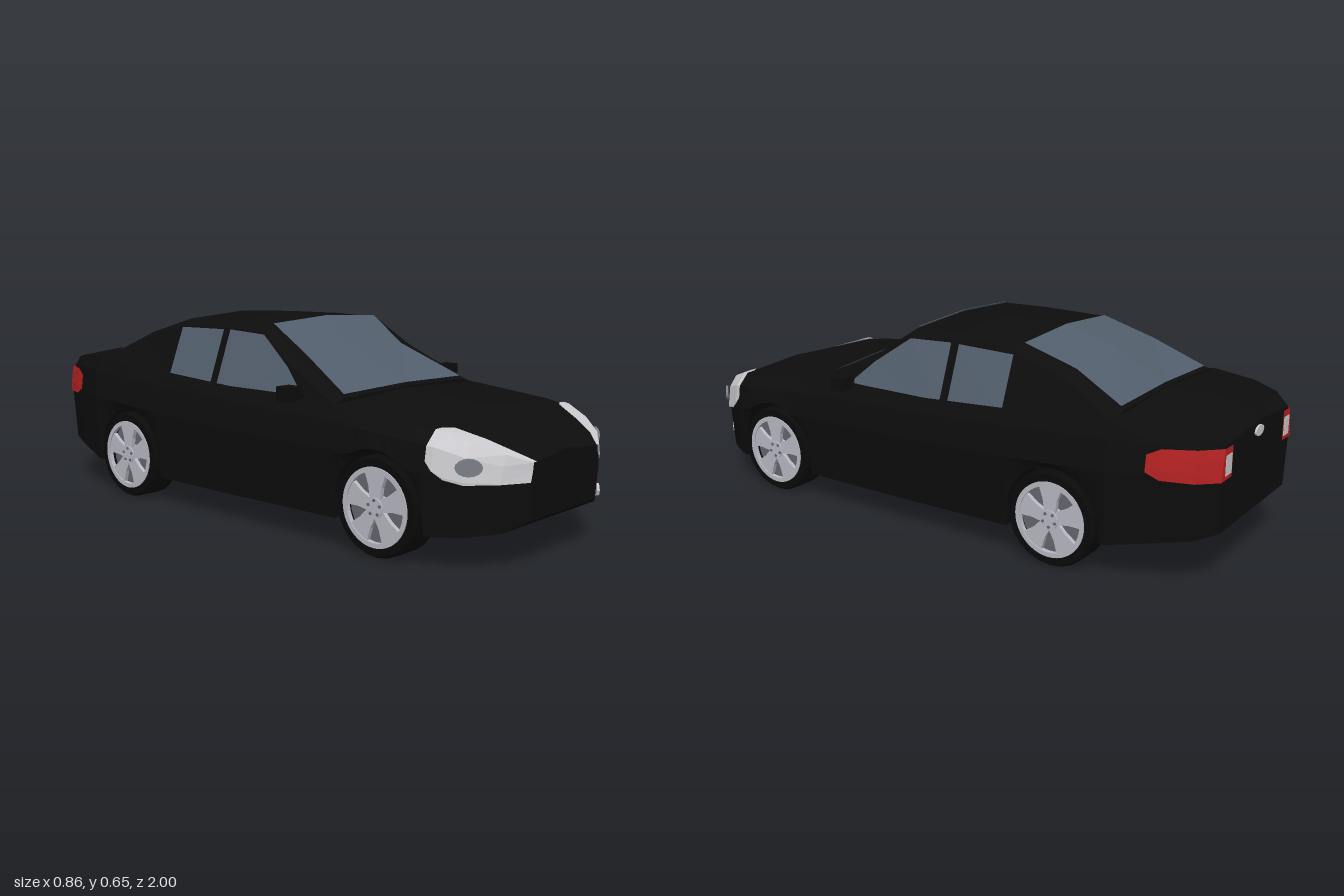
import * as THREE from 'three';

const mat = (name, color, side = THREE.FrontSide) => {
  const m = new THREE.MeshStandardMaterial({ color, flatShading: true, side });
  m.name = name;
  return m;
};

const WHEEL_Z = [0.61, -0.52], WHEEL_R = 0.15, ARCH_R = 0.16;

// Body stations: z, half width, bottom y, shoulder y, shoulder x / half width, crown y
const BODY = [
  [-0.995, 0.26, 0.17, 0.43, 0.92, 0.445],
  [-0.94, 0.32, 0.155, 0.46, 0.88, 0.485],
  [-0.85, 0.355, 0.14, 0.475, 0.9, 0.5],
  [-0.7, 0.395, 0.11, 0.48, 0.92, 0.502],
  [-0.35, 0.395, 0.09, 0.455, 0.92, 0.48],
  [0, 0.395, 0.088, 0.435, 0.92, 0.46],
  [0.4, 0.398, 0.09, 0.425, 0.91, 0.44],
  [0.72, 0.403, 0.09, 0.395, 0.87, 0.412],
  [0.8, 0.385, 0.095, 0.385, 0.86, 0.398],
  [0.88, 0.345, 0.1, 0.355, 0.87, 0.375],
  [0.95, 0.27, 0.11, 0.325, 0.9, 0.345],
  [0.995, 0.19, 0.14, 0.3, 0.92, 0.32],
];

// Cabin stations: z, base x y, window top x y, roof edge x y, crown y
const CABIN = [
  [-0.7, 0.355, 0.47, 0.33, 0.48, 0.29, 0.495, 0.503],
  [-0.52, 0.355, 0.45, 0.3, 0.555, 0.26, 0.577, 0.592],
  [-0.33, 0.355, 0.44, 0.287, 0.612, 0.25, 0.633, 0.648],
  [-0.1, 0.355, 0.43, 0.285, 0.617, 0.25, 0.637, 0.655],
  [0.07, 0.352, 0.43, 0.288, 0.61, 0.255, 0.632, 0.645],
  [0.2, 0.352, 0.43, 0.315, 0.52, 0.285, 0.542, 0.555],
  [0.42, 0.35, 0.42, 0.33, 0.43, 0.31, 0.438, 0.445],
];

// Linear interpolation of a station table
function at(table, z) {
  let i = 0;
  while (i < table.length - 2 && z > table[i + 1][0]) i++;
  const a = table[i], b = table[i + 1];
  const t = THREE.MathUtils.clamp((z - a[0]) / (b[0] - a[0]), 0, 1);
  return a.map((v, k) => v + (b[k] - v) * t);
}

// Half section of the body, from bottom centre round to top centre
function bodySection(z) {
  const [, w, b, ys, f, yc] = at(BODY, z);
  let h = b;
  for (const c of WHEEL_Z) {
    const d = Math.abs(z - c);
    if (d <= ARCH_R + 1e-6) h = WHEEL_R + Math.sqrt(Math.max(0, ARCH_R ** 2 - d * d));
  }
  const y1 = Math.max(b + (ys - b) * 0.62, h + 0.012), y2 = Math.max(b + (ys - b) * 0.88, y1 + 0.01);
  const well = Math.min(0.27, w * 0.7);
  return [[0, b], [well, b], [well, h], [w - 0.015, h], [w, y1], [w - 0.012, y2], [w * f, ys], [0, yc]];
}

function cabinSection(z) {
  const [, xb, yb, xm, ym, xt, yt, yc] = at(CABIN, z);
  return [[0, yb - 0.03], [xb, yb], [xm, ym], [xt, yt], [0, yc]];
}

// Side x of a half section at height y (points between first and last)
function sideX(points, y) {
  for (let i = 0; i < points.length - 1; i++) {
    const [xa, ya] = points[i], [xb, yb] = points[i + 1];
    if (y <= yb || i === points.length - 2) return xa + (xb - xa) * THREE.MathUtils.clamp((y - ya) / (yb - ya), 0, 1);
  }
}
const bodyX = (z, y) => sideX(bodySection(z).slice(3, 7), y);
const cabinX = (z, y) => sideX(cabinSection(z).slice(1, 3), y);

// Skin over rows of points; closed rows make a capped solid
function skin(rows, closed) {
  const pos = [], n = rows[0].length;
  const tri = (...p) => p.forEach((v) => pos.push(...v));
  for (let i = 0; i < rows.length - 1; i++) {
    for (let j = 0; j < (closed ? n : n - 1); j++) {
      const k = (j + 1) % n, a = rows[i][j], b = rows[i][k], c = rows[i + 1][j], d = rows[i + 1][k];
      tri(a, b, d);
      tri(a, d, c);
    }
  }
  if (closed) {
    const back = rows[0], front = rows[rows.length - 1];
    for (let j = 1; j < n - 1; j++) {
      tri(back[0], back[j + 1], back[j]);
      tri(front[0], front[j], front[j + 1]);
    }
  }
  const g = new THREE.BufferGeometry();
  g.setAttribute('position', new THREE.Float32BufferAttribute(pos, 3));
  g.computeVertexNormals();
  return g;
}

const ring = (half, z) => [
  ...half.map(([x, y]) => [x, y, z]),
  ...half.slice(1, -1).reverse().map(([x, y]) => [-x, y, z]),
];

export function createModel() {
  const car = new THREE.Group();
  car.name = 'car';
  const paint = mat('black paint', 0x0d0d0d);
  const rubber = mat('tyre rubber', 0x0a0a0a, THREE.DoubleSide);
  const glass = mat('window glass', 0x525e6c, THREE.DoubleSide);
  const clear = mat('clear lamp', 0xcacace, THREE.DoubleSide);
  const lens = mat('lamp lens', 0x7c7e86, THREE.DoubleSide);
  const red = mat('red lamp', 0xb42222, THREE.DoubleSide);
  const alloy = mat('alloy', 0xb9bac4);
  const shade = mat('dark alloy', 0x66676f);
  const add = (name, geo, m, parent = car) => {
    const mesh = new THREE.Mesh(geo, m);
    mesh.name = name;
    parent.add(mesh);
    return mesh;
  };

  // Lower body with open wheel arches
  const zs = BODY.map((s) => s[0]);
  for (const c of WHEEL_Z) {
    for (let k = 0; k <= 12; k++) zs.push(c + ARCH_R * Math.cos((k * Math.PI) / 12));
    zs.push(c + ARCH_R + 0.002, c - ARCH_R - 0.002);
  }
  zs.sort((a, b) => a - b);
  add('body', skin(zs.map((z) => ring(bodySection(z), z)), true), paint);

  // Cabin and roof
  add('cabin', skin(CABIN.map(([z]) => ring(cabinSection(z), z)), true), paint);

  // Windscreen and rear window, following the crown of the cabin
  const screen = (rows) => skin(rows.map(([z, w]) => {
    const [, , , , , xt, yt, yc] = at(CABIN, z);
    return [w, 0, -w].map((x) => [x, yc + (yt - yc) * Math.abs(x) / xt + 0.005, z]);
  }));
  add('windscreen', screen([[0.065, 0.25], [0.07, 0.25], [0.2, 0.24], [0.41, 0.297]]), glass);
  add('rearWindow', screen([[-0.69, 0.284], [-0.52, 0.25], [-0.335, 0.248]]), glass);

  for (const s of [1, -1]) {
    const side = s > 0 ? 'left' : 'right';

    // Side windows: z, bottom y, top y
    const pane = (cols) => skin(cols.map(([z, lo, hi]) =>
      [lo, hi].map((y) => [s * (cabinX(z, y) + 0.005), y, z])));
    add(side + 'FrontWindow', pane([[-0.09, 0.437, 0.612], [0.07, 0.437, 0.605], [0.2, 0.437, 0.515], [0.27, 0.437, 0.452]]), glass);
    add(side + 'RearWindow', pane([[-0.325, 0.444, 0.607], [-0.12, 0.437, 0.611]]), glass);

    // Headlamp wrapping over the wing: z, bottom y, inner x on the bonnet
    const lampRows = [[0.78, 0.31, 0.31], [0.8, 0.285, 0.28], [0.83, 0.262, 0.265], [0.88, 0.25, 0.24], [0.95, 0.25, 0.205], [0.995, 0.25, 0.165]];
    const headlamp = lampRows.map(([z, lo, xin]) => {
      const p = bodySection(z), [xs, ys] = p[6], yc = p[7][1];
      const inner = Math.min(xin, xs);
      const pts = [lo, Math.max(lo + 0.002, p[4][1]), p[5][1], ys].map((y) => [bodyX(z, y), y]);
      pts.push([inner, yc + (ys - yc) * inner / xs]);
      return pts.map(([x, y], i) => [s * (x + (i < 4 ? 0.005 : 0)), y + (i > 2 ? 0.005 : 0), z + 0.004]);
    });
    add(side + 'Headlamp', skin(headlamp), clear);

    // Round lens inside the headlamp
    const eye = add(side + 'HeadlampLens', new THREE.CylinderGeometry(0.038, 0.038, 0.008, 16).rotateX(Math.PI / 2), lens);
    eye.scale.y = 0.66;
    eye.rotation.y = s * 0.8;
    eye.position.set(s * 0.342, 0.3, 0.897);

    // Tail lamp round the rear corner, with reversing lamp
    const tail = [[-0.995, 0.33, 0.425], [-0.94, 0.332, 0.427], [-0.85, 0.335, 0.425], [-0.81, 0.355, 0.405]].map(([z, lo, hi]) =>
      [0, 0.33, 0.66, 1].map((t) => {
        const y = lo + (hi - lo) * t;
        return [s * (bodyX(z, y) + 0.006), y, z - 0.004];
      }));
    tail.unshift(tail[0].map(([, y]) => [s * 0.195, y, -0.999]));
    add(side + 'TailLamp', skin(tail), red);
    add(side + 'ReversingLamp', new THREE.BoxGeometry(0.04, 0.06, 0.004), clear).position.set(s * 0.222, 0.373, -0.999);

    // Door mirror on a short stalk
    const mirror = new THREE.Group();
    mirror.name = side + 'Mirror';
    car.add(mirror);
    add('mirrorHousing', new THREE.BoxGeometry(0.055, 0.044, 0.05), paint, mirror).position.set(s * 0.402, 0.448, 0.28);
    add('mirrorStalk', new THREE.BoxGeometry(0.05, 0.012, 0.025), paint, mirror).position.set(s * 0.362, 0.434, 0.28);
  }

  // Fog lamp on one side and small plate on the boot
  const fog = add('fogLamp', new THREE.CylinderGeometry(0.02, 0.02, 0.008, 8).rotateX(Math.PI / 2), clear);
  fog.rotation.y = 0.75;
  fog.position.set(0.27, 0.145, 0.95);
  const plate = add('bootPlate', new THREE.CylinderGeometry(0.03, 0.03, 0.008, 14).rotateX(Math.PI / 2), clear);
  plate.scale.y = 0.55;
  plate.position.set(0, 0.415, -0.997);

  // Wheels: axle along y with the outer face up, then turned outward
  const tyre = new THREE.LatheGeometry([[0.112, -0.055], [0.143, -0.055], [0.15, -0.045], [0.15, 0.045], [0.143, 0.055], [0.119, 0.055], [0.116, 0.02]]
    .map(([r, y]) => new THREE.Vector2(r, y)), 24);
  const extrude = (shape, depth) => new THREE.ExtrudeGeometry(shape, { depth, bevelEnabled: false, curveSegments: 24 }).rotateX(-Math.PI / 2);
  const rimShape = new THREE.Shape().absarc(0, 0, 0.119, 0, Math.PI * 2);
  rimShape.holes.push(new THREE.Path().absarc(0, 0, 0.104, 0, Math.PI * 2, true));
  const rim = extrude(rimShape, 0.015);
  const spoke = extrude(new THREE.Shape([[-0.018, 0.015], [0.018, 0.015], [0.024, 0.06], [0.04, 0.105], [-0.04, 0.105], [-0.024, 0.06]]
    .map(([x, y]) => new THREE.Vector2(x, y))), 0.014);
  for (const z of WHEEL_Z) {
    for (const s of [1, -1]) {
      const wheel = new THREE.Group();
      wheel.name = (z > 0 ? 'front' : 'rear') + (s > 0 ? 'Left' : 'Right') + 'Wheel';
      wheel.position.set(s * 0.335, WHEEL_R, z);
      wheel.rotation.z = -s * Math.PI / 2;
      car.add(wheel);
      add('tyre', tyre, rubber, wheel);
      add('innerCover', new THREE.CylinderGeometry(0.114, 0.114, 0.01, 24), rubber, wheel).position.y = -0.048;
      add('rimBack', new THREE.CylinderGeometry(0.117, 0.117, 0.01, 24), shade, wheel).position.y = 0.02;
      add('rim', rim, alloy, wheel).position.y = 0.043;
      add('hub', new THREE.CylinderGeometry(0.03, 0.034, 0.03, 15), alloy, wheel).position.y = 0.043;
      for (let k = 0; k < 5; k++) {
        const a = (k * Math.PI * 2) / 5;
        const arm = add('spoke', spoke, alloy, wheel);
        arm.position.y = 0.041;
        arm.rotation.y = a + s * Math.PI / 2;
        add('wheelBolt', new THREE.CylinderGeometry(0.005, 0.005, 0.004, 6), shade, wheel)
          .position.set(Math.cos(a) * 0.022, 0.059, Math.sin(a) * 0.022);
      }
    }
  }
  return car;
}
